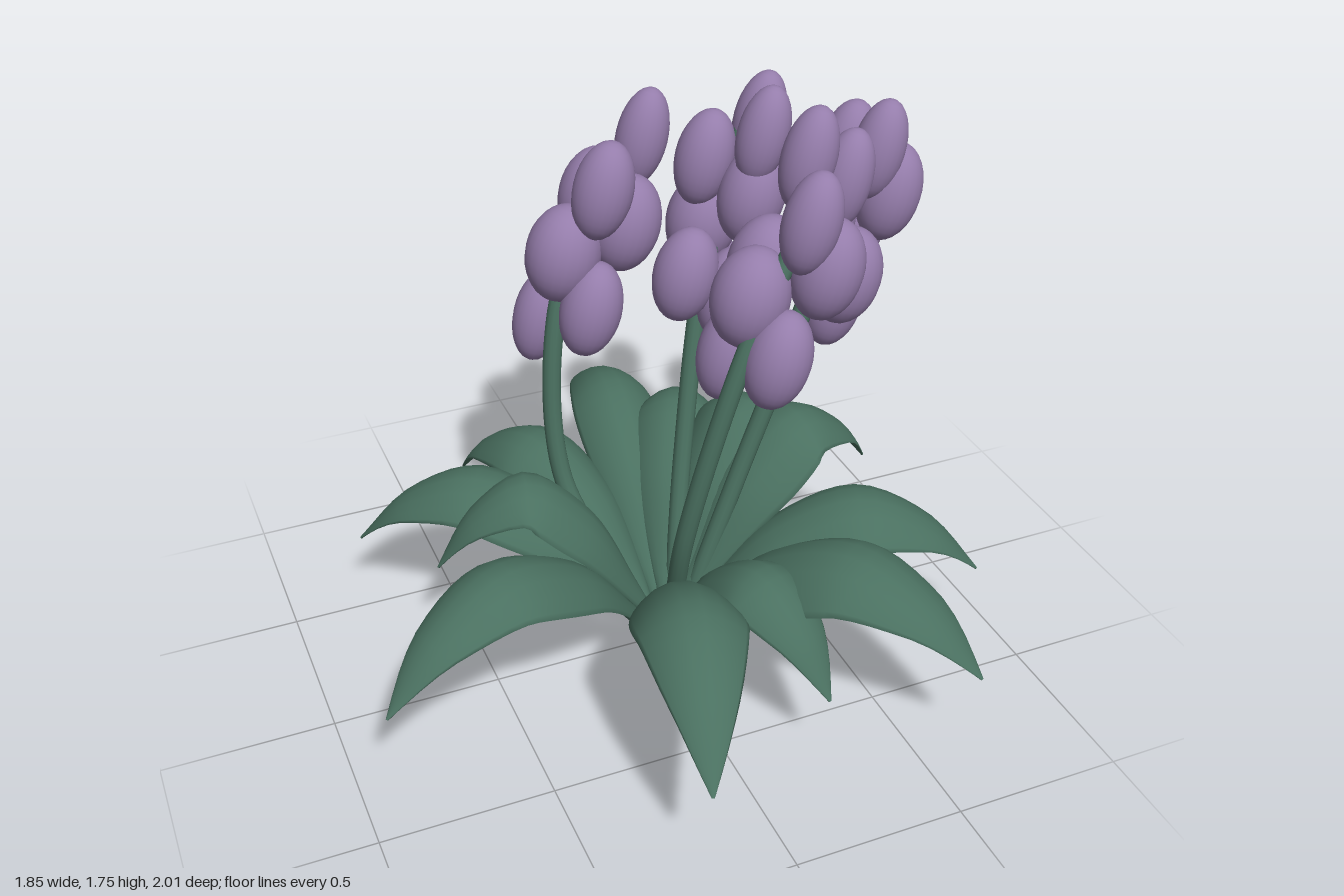
import * as THREE from 'three';

const leafGreen = new THREE.MeshStandardMaterial({ color: 0x4a7060, side: THREE.DoubleSide });
leafGreen.name = 'leafGreen';
const petalPurple = new THREE.MeshStandardMaterial({ color: 0x957dab });
petalPurple.name = 'petalPurple';

const BASE = new THREE.Vector3(0.04, 0, 0);

// Leaves: tip x, y, z and width
const LEAVES = [
  [0.15, 0.30, -1.0, 0.26],
  [-0.35, 0.24, -0.79, 0.29],
  [-0.77, 0.27, -0.49, 0.31],
  [-0.62, 0.36, -0.14, 0.28],
  [-0.92, 0.31, 0.38, 0.30],
  [-0.25, 0.34, 1.0, 0.31],
  [0.24, 0.24, 0.70, 0.28],
  [0.64, 0.29, 0.83, 0.36],
  [0.92, 0.25, 0.35, 0.34],
  [0.79, 0.39, -0.15, 0.32],
  [0.62, 0.38, -0.36, 0.32],
  [0.40, 0.31, -0.69, 0.27],
];

// Flower spikes: where the stem is rooted, bends, meets the lowest buds and ends, with bud centres
const SPIKES = [
  {
    root: [0, -0.02], bend: [-0.2, -0.21], neck: [-0.18, 1.05, -0.28], lean: 0.22,
    buds: [[-0.2, 1.0, -0.37], [-0.1, 1.08, -0.21], [-0.15, 1.23, -0.29], [0.03, 1.3, -0.27],
      [-0.02, 1.34, -0.4], [-0.05, 1.43, -0.23], [0.11, 1.52, -0.34]],
  },
  {
    root: [0.09, -0.05], bend: [0.17, -0.17], neck: [0.27, 1.05, -0.27], lean: 0.15,
    buds: [[0.33, 1.03, -0.36], [0.2, 1.12, -0.23], [0.32, 1.05, -0.2], [0.31, 1.22, -0.36],
      [0.4, 1.34, -0.22], [0.3, 1.43, -0.33], [0.42, 1.53, -0.2], [0.47, 1.52, -0.33]],
  },
  {
    root: [0.11, 0], bend: [0.27, 0], neck: [0.48, 1.08, -0.01], lean: 0.17,
    buds: [[0.6, 1.04, -0.06], [0.57, 1.18, 0.05], [0.54, 1.3, -0.07], [0.67, 1.25, -0.13],
      [0.72, 1.39, 0], [0.66, 1.47, -0.15], [0.67, 1.53, 0.01]],
  },
  {
    root: [0.04, 0.05], bend: [0.02, 0.2], neck: [0.16, 1.1, 0.25], lean: 0.26,
    buds: [[0.17, 1.07, 0.14], [0.25, 1.1, 0.28], [0.21, 1.25, 0.18], [0.31, 1.27, 0.06],
      [0.4, 1.33, 0.25], [0.34, 1.48, 0.26], [0.49, 1.53, 0.15], [0.38, 1.61, 0.15]],
  },
];

// Arching leaf: cross-sections like an upturned trough, swept from the base, over a peak, to a drooping tip
function leafGeometry(tipX, tipY, tipZ, width) {
  const peak = tipY + 0.27;
  const out = new THREE.Vector3(tipX - BASE.x, 0, tipZ - BASE.z);
  const reach = out.length();
  out.normalize();
  const side = new THREE.Vector3(0, 1, 0).cross(out);
  const profile = [
    [0.04, 0.03], [0.15, peak * 0.33], [0.34, peak * 0.77],
    [0.6, peak], [0.83, peak - 0.09], [1, tipY],
  ];
  const curve = new THREE.CatmullRomCurve3(
    profile.map(([f, y]) => BASE.clone().addScaledVector(out, f * reach).setY(y)));
  const rows = 24, sides = 18, pos = [], index = [];
  for (let i = 0; i <= rows; i++) {
    const t = Math.max(0, i - 1) / (rows - 1);
    const c = curve.getPointAt(t);
    const normal = curve.getTangentAt(t).cross(side).normalize();
    const open = i === 0 ? 0 : 1; // the first ring closes the leaf base
    const swell = Math.sin(Math.PI * Math.pow(t, 1.12));
    const half = open * Math.max(0.022 * (1 - t), (width / 2) * swell + 0.004);
    const thick = open * (0.02 * (1 - t) + 0.004);
    for (let j = 0; j < sides; j++) {
      const a = (j / sides) * Math.PI * 2;
      const p = c.clone().addScaledVector(side, Math.cos(a) * half)
        .addScaledVector(normal, Math.sin(a) * thick - 0.6 * half * swell * Math.cos(a) ** 2);
      pos.push(p.x, p.y, p.z);
      if (i < rows) {
        const p0 = i * sides + j, p1 = i * sides + (j + 1) % sides;
        index.push(p0, p1, p1 + sides, p0, p1 + sides, p0 + sides);
      }
    }
  }
  const g = new THREE.BufferGeometry();
  g.setAttribute('position', new THREE.Float32BufferAttribute(pos, 3));
  g.setIndex(index);
  g.computeVertexNormals();
  return g;
}

// Stem rising from the root, through the bend, to the top of its bud cluster
function stemGeometry([rootX, rootZ], [bendX, bendZ], [x, y, z], lean) {
  const curve = new THREE.CatmullRomCurve3([
    new THREE.Vector3(rootX, 0.01, rootZ),
    new THREE.Vector3(rootX * 0.8 + bendX * 0.2, 0.15, rootZ * 0.8 + bendZ * 0.2),
    new THREE.Vector3(bendX, 0.52, bendZ),
    new THREE.Vector3(x, y, z),
    new THREE.Vector3(x + 0.48 * lean, y + 0.24, z - 0.03),
    new THREE.Vector3(x + lean, y + 0.45, z - 0.06),
  ]);
  return new THREE.TubeGeometry(curve, 48, 0.028, 12);
}

export function createModel() {
  const model = new THREE.Group();
  model.name = 'floweringPlant';

  const leaves = new THREE.Group();
  leaves.name = 'leaves';
  for (const spec of LEAVES) {
    const leaf = new THREE.Mesh(leafGeometry(...spec), leafGreen);
    leaf.name = 'leaf';
    leaves.add(leaf);
  }
  model.add(leaves);

  const budGeometry = new THREE.SphereGeometry(1, 24, 16);
  for (const { root, bend, neck, lean, buds } of SPIKES) {
    const spike = new THREE.Group();
    spike.name = 'flowerSpike';
    const stem = new THREE.Mesh(stemGeometry(root, bend, neck, lean), leafGreen);
    stem.name = 'stem';
    spike.add(stem);
    // Egg-shaped buds leaning with the stem, plumpest halfway up the spike
    for (const [x, y, z] of buds) {
      const halfWidth = Math.max(0.074, 0.11 - 0.13 * Math.abs(y - 1.24));
      const bud = new THREE.Mesh(budGeometry, petalPurple);
      bud.name = 'bud';
      bud.position.set(x, y, z);
      bud.scale.set(halfWidth, 0.145, halfWidth);
      bud.rotation.z = -0.25;
      spike.add(bud);
    }
    model.add(spike);
  }
  return model;
}
